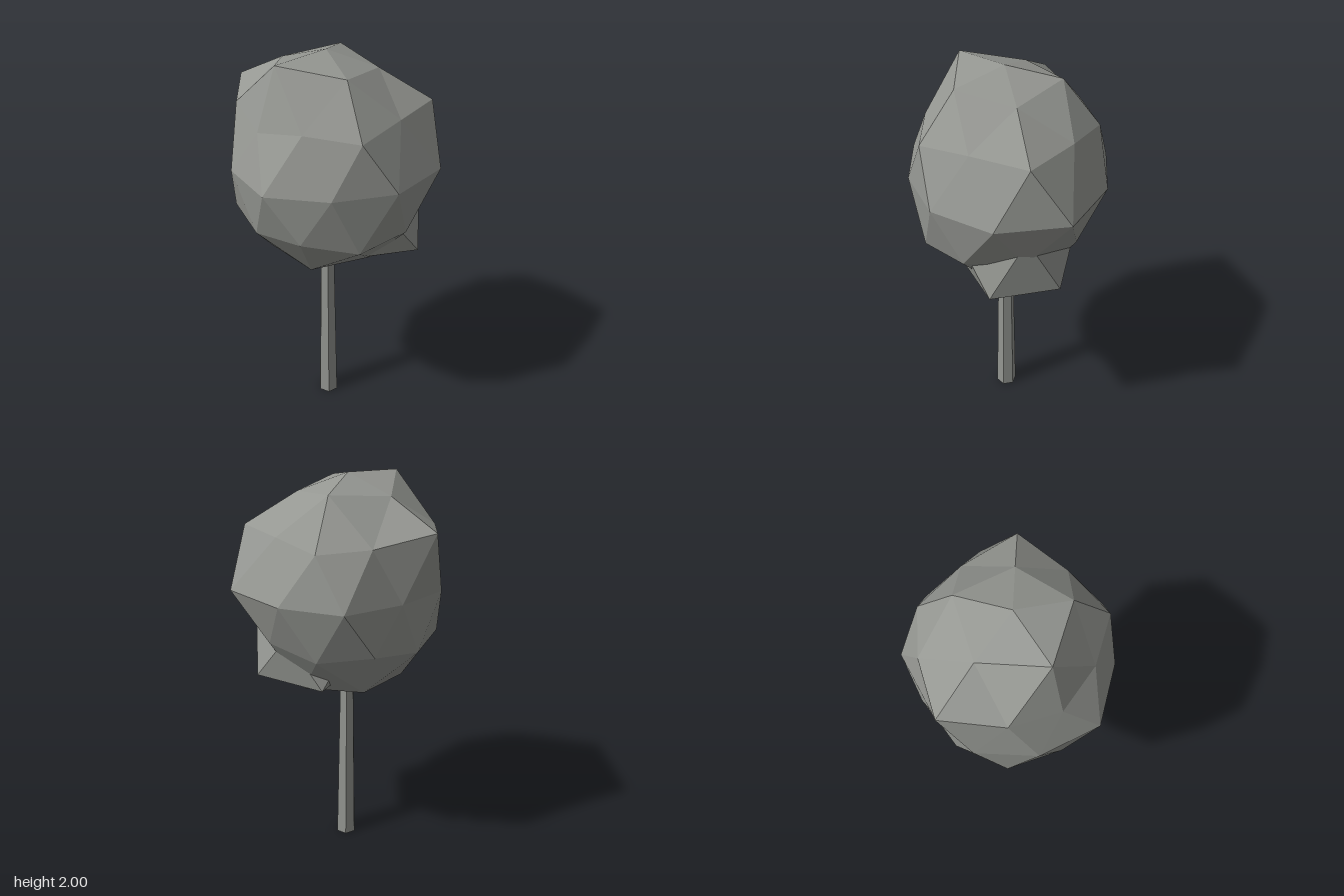
import * as THREE from 'three';

const grey = new THREE.MeshStandardMaterial({ color: 0x959792, flatShading: true });
grey.name = 'stone grey';

// Faceted ball with vertices at its poles; nearby corners are pulled to the given points
function facetedBall(name, detail, centre, scale, pulls) {
  const points = [0, 1, 0];
  for (const [y, turn] of [[0.4472, 0], [-0.4472, Math.PI / 5]]) {
    for (let i = 0; i < 5; i++) {
      const a = (i * 2 * Math.PI) / 5 + turn;
      points.push(0.8944 * Math.cos(a), y, 0.8944 * Math.sin(a));
    }
  }
  points.push(0, -1, 0);

  const faces = [];
  for (let i = 0; i < 5; i++) {
    const j = (i + 1) % 5;
    const u = 1 + i, v = 1 + j, l = 6 + i, m = 6 + j;
    faces.push(0, v, u, u, v, l, l, v, m, 11, l, m);
  }

  const geometry = new THREE.PolyhedronGeometry(points, faces, 1, detail);
  geometry.scale(...scale).translate(...centre);
  const pos = geometry.attributes.position;
  const p = new THREE.Vector3();
  const targets = pulls.map((t) => new THREE.Vector3(...t));
  for (let i = 0; i < pos.count; i++) {
    p.fromBufferAttribute(pos, i);
    const target = targets.find((t) => t.distanceTo(p) < 0.125);
    if (target) pos.setXYZ(i, target.x, target.y, target.z);
  }
  geometry.computeVertexNormals();
  const mesh = new THREE.Mesh(geometry, grey);
  mesh.name = name;
  return mesh;
}

export function createModel() {
  const tree = new THREE.Group();
  tree.name = 'tree';

  // Tapered six-sided trunk
  const trunk = new THREE.Mesh(new THREE.CylinderGeometry(0.036, 0.055, 1.05, 6), grey);
  trunk.name = 'trunk';
  trunk.position.set(-0.05, 0.525, 0.02);
  tree.add(trunk);

  // Large crown with uneven corners
  tree.add(facetedBall('crown', 1, [-0.05, 1.475, 0.02], [0.5, 0.525, 0.5], [
    // top
    [0.19, 1.91, 0.02], [0.03, 1.945, 0.265], [-0.28, 1.985, 0.185],
    [-0.25, 1.92, -0.125], [0.03, 1.945, -0.23],
    // upper band
    [0.445, 1.75, 0.02], [0.085, 1.72, 0.44], [-0.365, 1.7, 0.245],
    [-0.455, 1.79, -0.275], [0.08, 1.72, -0.4],
    [0.27, 1.75, 0.25], [-0.17, 1.74, 0.375], [-0.465, 1.76, 0.02],
    [-0.17, 1.74, -0.375], [0.27, 1.75, -0.22],
    // widest band
    [0.475, 1.475, 0.19], [0.25, 1.475, 0.43], [-0.05, 1.475, 0.49],
    [-0.35, 1.475, 0.425], [-0.5, 1.475, 0.16], [-0.5, 1.475, -0.13],
    [-0.31, 1.475, -0.335], [-0.05, 1.475, -0.49], [0.25, 1.475, -0.4],
    [0.5, 1.475, -0.16],
    // lower band and underside
    [-0.5, 1.22, 0.02], [0.08, 1.175, 0.445], [-0.19, 1.23, 0.445],
    [0.31, 1.2, 0.3], [-0.33, 0.97, 0.02], [-0.14, 0.98, 0.27],
    [-0.14, 0.98, -0.23], [0.16, 0.98, 0.17], [0.16, 0.953, -0.135],
    [-0.05, 0.925, 0.02],
  ]));

  // Small clump on the lower left side
  tree.add(facetedBall('sideClump', 0, [0.14, 1.15, 0.02], [0.33, 0.27, 0.33], [
    [0.405, 1.35, 0.02], [0.39, 1.03, 0.195], [0.39, 1.03, -0.15],
    [0.05, 1.045, 0.28], [0.06, 1.01, -0.29], [-0.12, 1.04, 0.02],
  ]));

  return tree;
}
